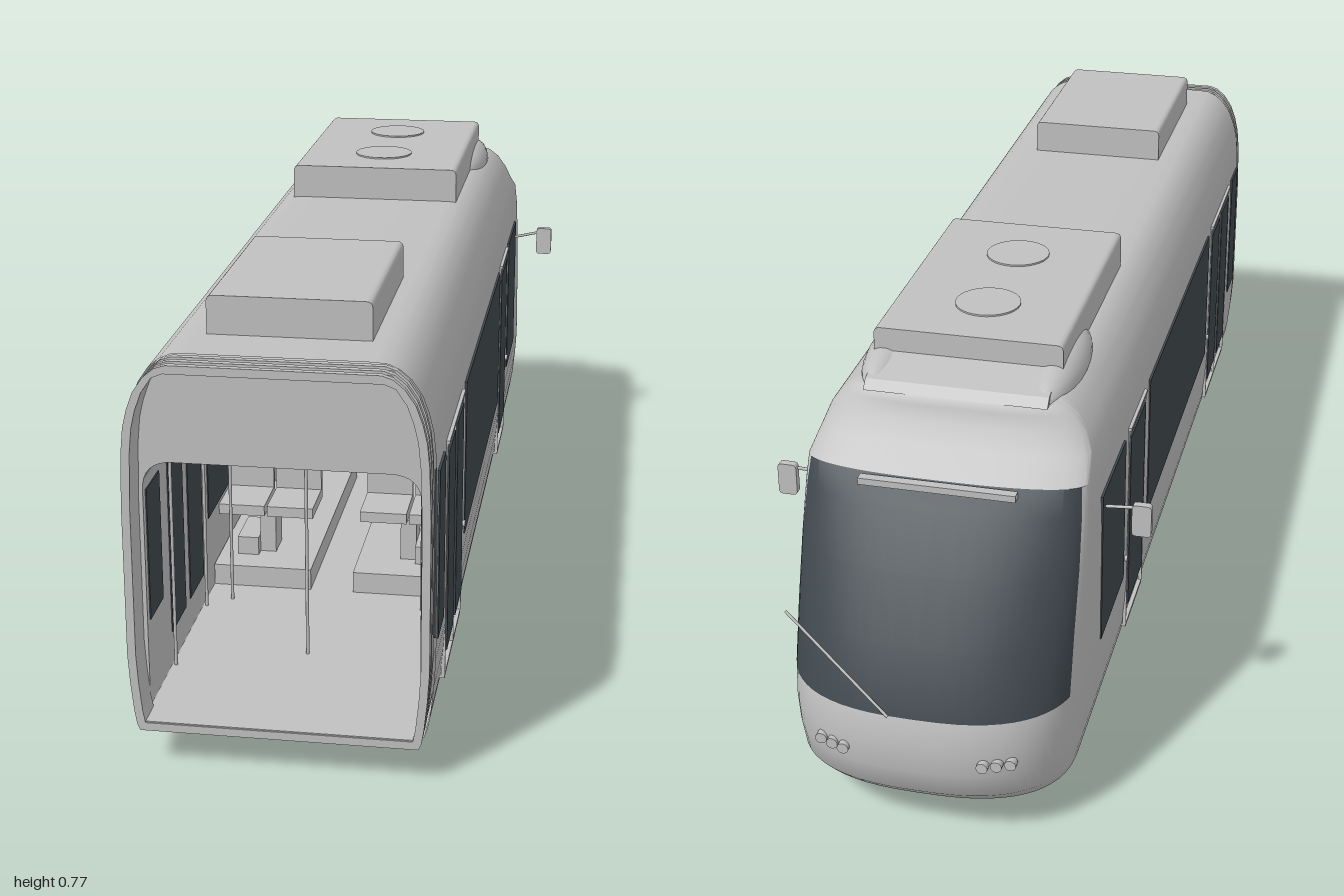
import * as THREE from 'three';
import { toCreasedNormals } from 'three/addons/utils/BufferGeometryUtils.js';

const mat = (name, color) => new THREE.MeshStandardMaterial({ name, color, side: THREE.DoubleSide });

// Shell layers: height, half width, z where the nose curve starts, z of the nose tip
const LAYERS = [
  [0.06, 0.233, -0.75, -0.91], [0.075, 0.238, -0.78, -0.96], [0.1, 0.242, -0.79, -0.985],
  [0.15, 0.247, -0.79, -0.998], [0.2, 0.25, -0.79, -1], [0.25, 0.25, -0.79, -0.99],
  [0.355, 0.25, -0.772, -0.943], [0.46, 0.25, -0.752, -0.88], [0.55, 0.247, -0.738, -0.822],
  [0.59, 0.243, -0.735, -0.79], [0.62, 0.236, -0.68, -0.73], [0.65, 0.225, -0.66, -0.705],
  [0.675, 0.208, -0.655, -0.695], [0.69, 0.19, -0.65, -0.69], [0.698, 0.172, -0.64, -0.68],
  [0.7, 0.15, -0.6, -0.65],
];

// Shell built from plan outlines stacked in height; the windscreen is its own face group
function shellGeometry() {
  const rows = [[0.06, 0, -0.7, -0.85], ...LAYERS, [0.7, 0, -0.58, -0.6]];
  const edge = 0.309, angles = [0, 0.05, 0.13, 0.22];
  for (let i = 0; i <= 24; i++) angles.push(edge + (Math.PI - 2 * edge) * i / 24);
  angles.push(...[0.22, 0.13, 0.05, 0].map(a => Math.PI - a));
  const n = angles.length + 2, pos = [], paint = [], glass = [];
  for (const [y, w, zs, zf] of rows) {
    pos.push(w, y, 0.95);
    for (const a of angles) {
      const c = Math.cos(a), s = Math.max(Math.sin(a), 0);
      pos.push(w * Math.sign(c) * Math.abs(c) ** 0.77, y, zs + (zf - zs) * s ** 0.77);
    }
    pos.push(-w, y, 0.95);
  }
  for (let i = 0; i < rows.length - 1; i++) {
    for (let j = 0; j < n - 1; j++) {
      const isGlass = rows[i][0] >= 0.25 && rows[i + 1][0] <= 0.59 && j >= 5 && j < 29;
      const a = i * n + j, c = a + n;
      (isGlass ? glass : paint).push(a, a + 1, c, a + 1, c + 1, c);
    }
  }
  const g = new THREE.BufferGeometry();
  g.setAttribute('position', new THREE.Float32BufferAttribute(pos, 3));
  g.setIndex([...paint, ...glass]);
  g.addGroup(0, paint.length, 0);
  g.addGroup(paint.length, glass.length, 1);
  return toCreasedNormals(g, 0.6);
}

// Closed cross-section of the body, inset by d
function sectionPoints(d) {
  const half = LAYERS.map(([y, w]) => new THREE.Vector2(w - d, THREE.MathUtils.clamp(y, 0.06 + d, 0.7 - d)));
  return [...half, ...half.map(p => new THREE.Vector2(-p.x, p.y)).reverse()];
}

// Rectangle with rounded upper and lower corners
function roundRect(x0, y0, x1, y1, rt, rb) {
  const s = new THREE.Shape();
  s.moveTo(x0 + rb, y0).lineTo(x1 - rb, y0).quadraticCurveTo(x1, y0, x1, y0 + rb);
  s.lineTo(x1, y1 - rt).quadraticCurveTo(x1, y1, x1 - rt, y1);
  s.lineTo(x0 + rt, y1).quadraticCurveTo(x0, y1, x0, y1 - rt);
  s.lineTo(x0, y0 + rb).quadraticCurveTo(x0, y0, x0 + rb, y0);
  return s;
}

export function createModel() {
  const model = new THREE.Group();
  model.name = 'tramCar';
  const body = mat('bodyGrey', 0xc0c0c0);
  const glass = mat('darkGlass', 0x40484e);
  const screen = mat('blueScreen', 0x40435a);

  const add = (name, geo, m = body, x = 0, y = 0, z = 0) => {
    const mesh = new THREE.Mesh(geo, m);
    mesh.name = name;
    mesh.position.set(x, y, z);
    model.add(mesh);
    return mesh;
  };
  // Box given by its limits on each axis
  const box = (name, x0, x1, y0, y1, z0, z1, m = body) =>
    add(name, new THREE.BoxGeometry(Math.abs(x1 - x0), y1 - y0, z1 - z0), m, (x0 + x1) / 2, (y0 + y1) / 2, (z0 + z1) / 2);
  const prism = (name, shape, z0, z1) =>
    add(name, new THREE.ExtrudeGeometry(shape, { depth: z1 - z0, bevelEnabled: false, curveSegments: 8 }), body, 0, 0, z0);
  const axial = (name, r, len, x, y, z, m = body) => {
    const mesh = add(name, new THREE.CylinderGeometry(r, r, len, 28), m, x, y, z);
    mesh.rotation.z = Math.PI / 2;
    return mesh;
  };
  const rod = (name, a, b, r, m = body) => add(name, new THREE.TubeGeometry(
    new THREE.LineCurve3(new THREE.Vector3(...a), new THREE.Vector3(...b)), 1, r, 8), m);

  add('bodyShell', shellGeometry(), [body, glass]);

  // Saloon walls, floor and ceiling in one hollow extrusion
  const lining = new THREE.Shape(sectionPoints(0.005));
  lining.holes.push(roundRect(-0.225, 0.08, 0.225, 0.515, 0.05, 0.002));
  prism('saloonLining', lining, -0.45, 0.945);
  box('cabBulkhead', -0.235, 0.235, 0.07, 0.53, -0.465, -0.45);
  box('bulkheadFrame', -0.064, 0.064, 0.453, 0.498, -0.452, -0.444);
  box('bulkheadWindow', -0.06, 0.06, 0.457, 0.495, -0.446, -0.441, glass);
  box('saloonScreen', -0.17, -0.065, 0.35, 0.42, -0.17, -0.161, screen);
  rod('screenPost', [-0.138, 0.2, -0.165], [-0.138, 0.352, -0.165], 0.002);

  // Gangway bellows
  for (let i = 0; i < 5; i++) {
    const ring = new THREE.Shape(sectionPoints(i % 2 ? 0.01 : 0.004));
    ring.holes.push(new THREE.Path(sectionPoints(0.018)));
    prism('bellowsRib', ring, 0.945 + i * 0.011, 0.956 + i * 0.011);
  }
  box('gangwayFloor', -0.22, 0.22, 0.072, 0.08, 0.94, 0.998);

  // Windows and door panes: z0, z1, y0, y1
  const panes = [
    [0.845, 0.93, 0.23, 0.52], [0.69, 0.79, 0.14, 0.5], [0.55, 0.655, 0.14, 0.5],
    [-0.22, 0.5, 0.23, 0.52], [-0.41, -0.27, 0.14, 0.5], [-0.665, -0.46, 0.23, 0.52],
  ];
  const doors = [[0.545, 0.805], [-0.42, -0.26]];
  for (const s of [1, -1]) {
    for (const [z0, z1, y0, y1] of panes) {
      box('sideWindow', s * 0.244, s * 0.252, y0, y1, z0, z1, glass);
      if (z0 > -0.45) box('innerWindow', s * 0.223, s * 0.227, y0, Math.min(y1, 0.46), z0, z1, glass);
    }
    for (const [z0, z1] of doors) {
      box('doorTopRail', s * 0.244, s * 0.254, 0.517, 0.523, z0, z1);
      box('doorSill', s * 0.236, s * 0.25, 0.094, 0.1, z0, z1);
      for (const z of [z0, z1]) box('doorEdge', s * 0.244, s * 0.2508, 0.1, 0.517, z - 0.0015, z + 0.0015);
      axial('doorButton', 0.006, 0.01, s * 0.25, 0.26, z0 - 0.02);
      for (const z of [z0 + 0.01, z1 - 0.01]) rod('doorHandrail', [s * 0.218, 0.08, z], [s * 0.218, 0.51, z], 0.003);
    }
    box('doorSeal', s * 0.244, s * 0.2508, 0.1, 0.517, 0.671, 0.674);

    // Wing mirror
    rod('mirrorArm', [s * 0.245, 0.488, -0.64], [s * 0.31, 0.5, -0.652], 0.003);
    prism('mirror', roundRect(s * 0.318 - 0.017, 0.449, s * 0.318 + 0.017, 0.509, 0.008, 0.008), -0.662, -0.648);

    // Headlight cluster on the nose
    for (let i = 0; i < 3; i++) {
      const x = 0.12 + i * 0.022;
      const lamp = add('headlight', new THREE.CylinderGeometry(0.01, 0.01, 0.014, 16), body, s * x, 0.175, -0.99 + i * 0.009);
      lamp.rotation.x = Math.PI / 2;
    }

    // Seats over the running gear
    box('seatPlatform', s * 0.04, s * 0.224, 0.08, 0.12, -0.12, 0.46);
    for (const z of [-0.02, 0.355]) {
      box('wheelCover', s * 0.15, s * 0.19, 0.12, 0.155, z - 0.05, z + 0.05);
      for (const x of [0.045, 0.138]) {
        box('seatCushion', s * x, s * (x + 0.088), 0.2, 0.22, z - 0.05, z + 0.05);
        box('seatBack', s * x, s * (x + 0.088), 0.2, 0.35, z - 0.06, z - 0.048);
      }
      box('seatLeg', s * 0.12, s * 0.15, 0.12, 0.2, z - 0.03, z + 0.03);
    }
    rod('grabPole', [s * 0.177, 0.08, 0.52], [s * 0.177, 0.51, 0.52], 0.003);

    // Fairing beside the front roof unit
    const fairing = add('roofFairing', new THREE.SphereGeometry(1, 24, 12), body, s * 0.15, 0.69, -0.53);
    fairing.scale.set(0.043, 0.042, 0.15);
  }
  for (const z of [0.72, -0.34]) rod('centrePole', [0, 0.08, z], [0, 0.512, z], 0.003);

  // Roof equipment
  prism('rearRoofUnit', roundRect(-0.137, 0.69, 0.133, 0.765, 0.012, 0.002), 0.47, 0.845);
  prism('frontRoofUnit', roundRect(-0.167, 0.69, 0.167, 0.765, 0.012, 0.002), -0.6, -0.1);
  for (const z of [-0.24, -0.46]) add('roofFan', new THREE.CylinderGeometry(0.058, 0.058, 0.006, 32), body, 0, 0.765, z);
  const wedge = new THREE.Shape([[0.58, 0.69], [0.69, 0.69], [0.675, 0.705], [0.58, 0.728]].map(p => new THREE.Vector2(...p)));
  const brow = add('roofBrow', new THREE.ExtrudeGeometry(wedge, { depth: 0.32, bevelEnabled: false }), body, -0.16);
  brow.rotation.y = Math.PI / 2;

  // Windscreen fittings
  box('windscreenTopBar', -0.135, 0.135, 0.578, 0.59, -0.812, -0.795);
  rod('wiperArm', [0.04, 0.25, -0.992], [0.225, 0.4, -0.945], 0.0025);

  // Running gear
  for (const z of [-0.02, 0.355]) {
    axial('axle', 0.007, 0.32, 0, 0.062, z);
    for (const s of [1, -1]) {
      axial('wheel', 0.057, 0.026, s * 0.16, 0.062, z);
      axial('wheelFlange', 0.062, 0.007, s * 0.15, 0.062, z);
      axial('wheelHub', 0.022, 0.034, s * 0.16, 0.062, z);
      axial('brakeDisc', 0.035, 0.01, s * 0.1, 0.062, z);
    }
  }
  for (const z of [0.07, 0.26]) axial('driveMotor', 0.021, 0.15, -0.012, 0.058, z);
  return model;
}
